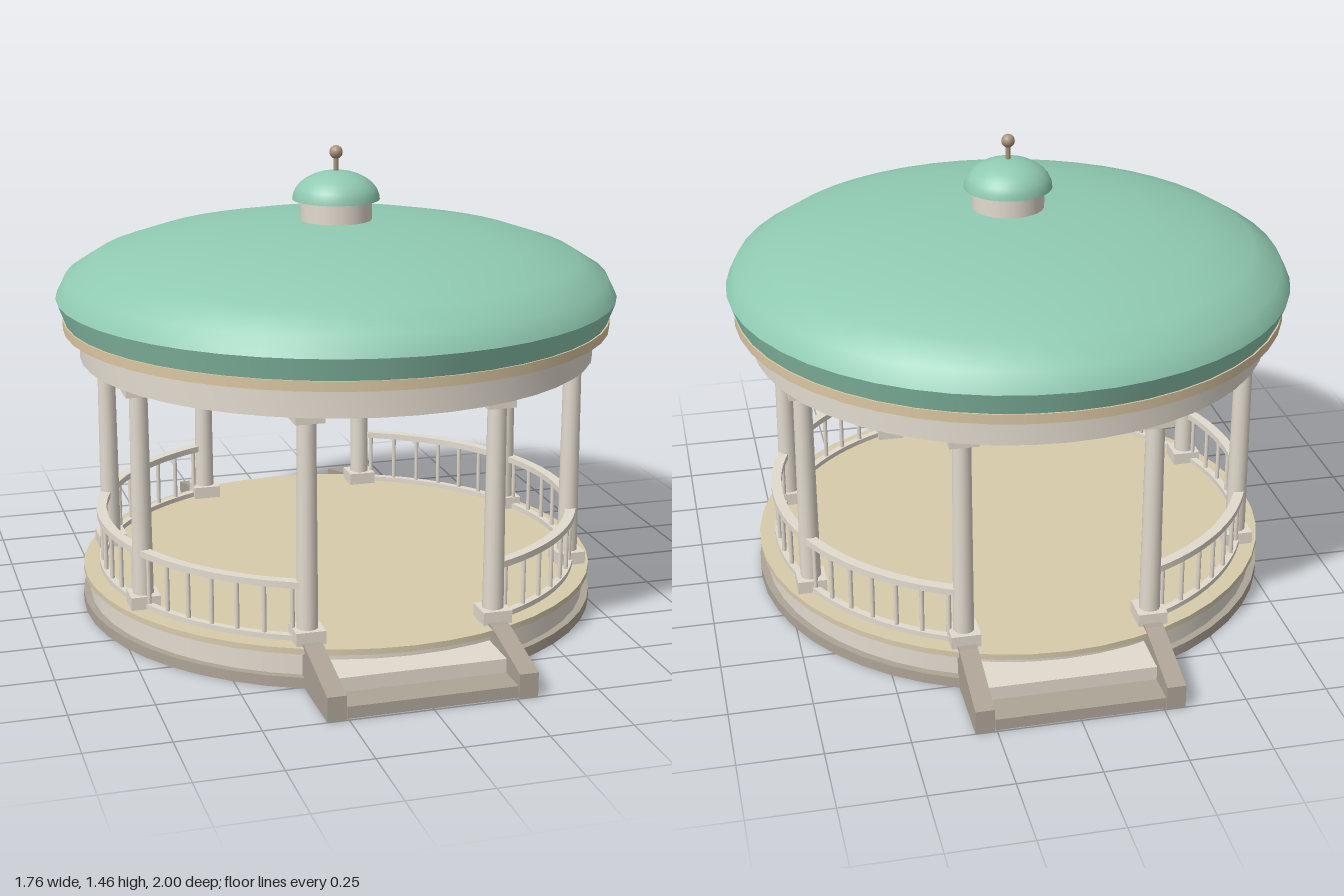
import * as THREE from 'three';
import { toCreasedNormals } from 'three/addons/utils/BufferGeometryUtils.js';

function material(name, color) {
  const m = new THREE.MeshStandardMaterial({ color });
  m.name = name;
  return m;
}

export function createModel() {
  const stone = material('pale stone', 0xe2dace);
  const brown = material('brown stone', 0xaea497);
  const floor = material('sandy floor', 0xd8cbac);
  const trim = material('tan trim', 0xdac6a2);
  const copper = material('green copper', 0x90cab2);
  const bronze = material('bronze', 0xa8947c);

  const model = new THREE.Group();
  model.name = 'bandstand';
  const SEG = 48;
  const BAY = Math.PI / 4;
  const COLUMN_RADIUS = 0.75;
  const RAIL_RADIUS = 0.758;

  function add(parent, name, geometry, mat, x = 0, y = 0, z = 0) {
    const mesh = new THREE.Mesh(geometry, mat);
    mesh.name = name;
    mesh.position.set(x, y, z);
    parent.add(mesh);
    return mesh;
  }
  // upright cylinder between two heights
  function drum(parent, name, r0, r1, y0, y1, mat, seg = SEG) {
    return add(parent, name, new THREE.CylinderGeometry(r1, r0, y1 - y0, seg), mat, 0, (y0 + y1) / 2, 0);
  }
  // rectangular section swept round the axis
  function ring(parent, name, ri, ro, y0, y1, mat, start = 0, sweep = Math.PI * 2, seg = SEG) {
    const section = [[ri, y0], [ro, y0], [ro, y1], [ri, y1], [ri, y0]].map(p => new THREE.Vector2(...p));
    return add(parent, name, toCreasedNormals(new THREE.LatheGeometry(section, seg, start, sweep), 0.6), mat);
  }
  // half ellipsoid
  function dome(parent, name, r, y, h, mat, rows) {
    const profile = [];
    for (let i = 0; i <= rows; i++) {
      const a = (i / rows) * Math.PI / 2;
      profile.push(new THREE.Vector2(i === rows ? 0 : r * Math.cos(a), y + h * Math.sin(a)));
    }
    return add(parent, name, new THREE.LatheGeometry(profile, SEG), mat);
  }

  // Platform
  drum(model, 'plinth', 0.823, 0.823, 0, 0.033, brown);
  drum(model, 'platformWall', 0.8, 0.8, 0.033, 0.104, stone);
  drum(model, 'deck', 0.82, 0.82, 0.104, 0.122, floor);

  // Stairs at front and back: steps held between sloping cheek walls
  const cheekShape = new THREE.Shape([[0.735, 0], [1, 0], [1, 0.075], [0.76, 0.13], [0.735, 0.13]]
    .map(p => new THREE.Vector2(...p)));
  const cheekGeometry = new THREE.ExtrudeGeometry(cheekShape, { depth: 0.057, bevelEnabled: false });
  cheekGeometry.rotateY(-Math.PI / 2);
  for (const [name, turn] of [['frontStairs', 0], ['backStairs', Math.PI]]) {
    const stairs = new THREE.Group();
    stairs.name = name;
    stairs.rotation.y = turn;
    add(stairs, 'lowerStep', new THREE.BoxGeometry(0.508, 0.036, 0.298), brown, 0, 0.022, 0.85);
    add(stairs, 'upperStep', new THREE.BoxGeometry(0.508, 0.043, 0.18), stone, 0, 0.0615, 0.81);
    add(stairs, 'leftCheekWall', cheekGeometry, brown, 0.314, 0, 0);
    add(stairs, 'rightCheekWall', cheekGeometry, brown, -0.257, 0, 0);
    model.add(stairs);
  }

  // Columns with square bases and capitals aligned to the axes
  for (let k = 0; k < 8; k++) {
    const a = (k + 0.5) * BAY;
    const column = new THREE.Group();
    column.name = 'column';
    column.position.set(Math.sin(a) * COLUMN_RADIUS, 0, Math.cos(a) * COLUMN_RADIUS);
    add(column, 'columnBase', new THREE.BoxGeometry(0.09, 0.04, 0.09), stone, 0, 0.142, 0);
    drum(column, 'shaft', 0.032, 0.028, 0.16, 0.79, stone, 16);
    add(column, 'capital', new THREE.BoxGeometry(0.088, 0.023, 0.088), stone, 0, 0.7995, 0);
    model.add(column);
  }

  // Railings in every bay except the two with stairs
  const balusterGeometry = new THREE.CylinderGeometry(0.007, 0.007, 0.165, 8);
  for (let k = 0; k < 8; k++) {
    if (k === 3 || k === 7) continue;
    const start = (k + 0.5) * BAY;
    const railing = new THREE.Group();
    railing.name = 'railing';
    ring(railing, 'topRail', RAIL_RADIUS - 0.016, RAIL_RADIUS + 0.016, 0.287, 0.307, stone, start, BAY, 12);
    ring(railing, 'bottomRail', RAIL_RADIUS - 0.011, RAIL_RADIUS + 0.011, 0.124, 0.14, stone, start, BAY, 12);
    for (let i = 0; i < 7; i++) {
      const a = start + (i + 0.5) / 7 * BAY;
      add(railing, 'baluster', balusterGeometry, stone,
        Math.sin(a) * RAIL_RADIUS, 0.21, Math.cos(a) * RAIL_RADIUS);
    }
    model.add(railing);
  }

  // Beam ring, ceiling and eaves
  ring(model, 'ringBeam', 0.685, 0.81, 0.811, 0.902, stone);
  drum(model, 'ceiling', 0.695, 0.695, 0.832, 0.85, stone);
  drum(model, 'eaves', 0.86, 0.86, 0.902, 0.932, trim);

  // Roof
  add(model, 'roofSkirt', new THREE.LatheGeometry(
    [new THREE.Vector2(0.855, 0.932), new THREE.Vector2(0.88, 1)], SEG), copper);
  dome(model, 'roofDome', 0.88, 1, 0.23, copper, 6);

  // Cupola and finial
  drum(model, 'cupolaDrum', 0.112, 0.112, 1.2, 1.292, stone);
  dome(model, 'cupolaDome', 0.137, 1.29, 0.09, copper, 8);
  const soffit = add(model, 'cupolaSoffit', new THREE.CircleGeometry(0.137, SEG), copper, 0, 1.29, 0);
  soffit.rotation.x = Math.PI / 2;
  drum(model, 'finialRod', 0.008, 0.008, 1.375, 1.425, bronze, 10);
  add(model, 'finialBall', new THREE.SphereGeometry(0.021, 16, 12), bronze, 0, 1.437, 0);

  return model;
}
